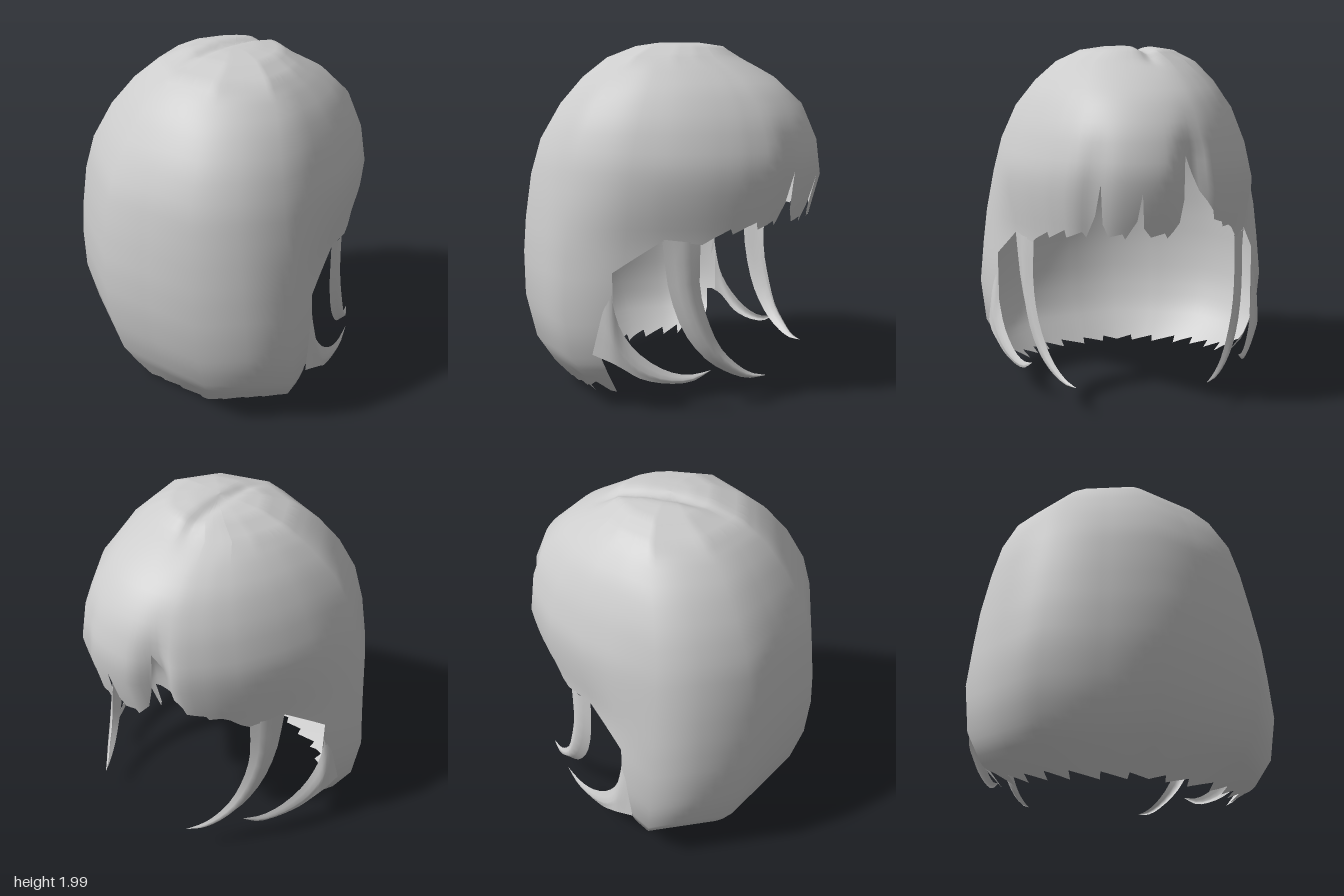
import * as THREE from 'three';

const V = (x, y, z) => new THREE.Vector3(x, y, z);
const { lerp, clamp, smoothstep, degToRad } = THREE.MathUtils;

// Horizontal sections from crown to nape: height, back x, front x, half width, centre x
const SECTIONS = [
  [2.0, 0.02, 0.02, 0, 0.02], [1.995, -0.1, 0.18, 0.14, 0.03], [1.975, -0.22, 0.31, 0.28, 0.02],
  [1.91, -0.4, 0.4, 0.42, 0], [1.8, -0.54, 0.6, 0.545, -0.04], [1.65, -0.66, 0.765, 0.665, -0.1],
  [1.45, -0.78, 0.855, 0.757, -0.14], [1.25, -0.84, 0.88, 0.81, -0.15], [1.0, -0.87, 0.81, 0.86, -0.15],
  [0.8, -0.88, 0.77, 0.885, -0.15], [0.55, -0.86, 0.75, 0.91, -0.15], [0.3, -0.79, 0.74, 0.88, -0.13],
  [0.15, -0.7, 0.74, 0.79, -0.09], [0, -0.6, 0.74, 0.62, -0.07],
];
const LAST = SECTIONS.length - 1;
// Angles of the broad panels round the sides and back
const PANELS = [31, 49, 67, 98, 138, 180];

// Fractional section index for a height
function indexAt(y) {
  for (let i = 0; i < LAST; i++) {
    const a = SECTIONS[i][0], b = SECTIONS[i + 1][0];
    if (y >= b) return i + (a - y) / (a - b);
  }
  return LAST;
}

// Point on the rounded outline of one section; 0 degrees is the face side
function outlinePoint(deg, [y, back, front, width, centre]) {
  const c = Math.cos(degToRad(deg)), s = Math.sin(degToRad(deg));
  if (c < 0) return V(centre + (centre - back) * c, y, width * s);
  const pinch = lerp(0.16, 0.06, smoothstep(y, 0.95, 1.25)) * smoothstep(Math.abs(deg), 0, 45);
  return V(centre + (front - centre) * c, y, width * s * (1 - pinch));
}

// Point on the cap at an angle (wrapped to half turns) and a fractional section index
function capPoint(angle, index) {
  const deg = angle > 180 ? angle - 360 : angle < -180 ? angle + 360 : angle;
  const i = Math.min(LAST - 1, Math.floor(index));
  const section = SECTIONS[i].map((v, k) => lerp(v, SECTIONS[i + 1][k], index - i));
  const size = Math.abs(deg), sign = Math.sign(deg);
  let p;
  if (size <= PANELS[0]) {
    p = outlinePoint(deg, section);
  } else {
    const k = PANELS.findIndex(a => size <= a), a = PANELS[k - 1], b = PANELS[k];
    p = outlinePoint(a * sign, section).lerp(outlinePoint(b * sign, section), (size - a) / (b - a));
  }
  // Creases above the parted fringe
  const low = 1 - smoothstep(p.y, 1.25, 1.65);
  p.x -= low * (0.095 * Math.exp(-(((deg + 19) / 5) ** 2)) + 0.025 * Math.exp(-(((deg - 20) / 5) ** 2)));
  // Parting groove on the crown
  const along = smoothstep(p.x, -0.4, -0.05) * (1 - smoothstep(p.x, 0.3, 0.46)) * smoothstep(p.y, 1.7, 1.8);
  p.y -= 0.03 * along * Math.exp(-(((p.z + 0.05 + 0.1 * p.x) / 0.045) ** 2));
  return p;
}

// Soft normal that runs smoothly across neighbouring panels
function capNormal(deg, index) {
  const d = lerp(4, 20, smoothstep(Math.abs(deg), 25, 60));
  const across = capPoint(deg + d, index).sub(capPoint(deg - d, index));
  const down = capPoint(deg, clamp(index + 0.8, 0, LAST)).sub(capPoint(deg, clamp(index - 0.8, 0, LAST)));
  return across.cross(down).normalize();
}

// Surface over rows of points
function surface(rows, flip, material, name) {
  const w = rows[0].length, index = [];
  for (let i = 0; i < rows.length - 1; i++) {
    for (let j = 0; j < w - 1; j++) {
      const a = i * w + j, b = a + w, c = a + 1, d = b + 1;
      if (flip) index.push(a, c, b, c, d, b);
      else index.push(a, b, c, c, b, d);
    }
  }
  const g = new THREE.BufferGeometry().setFromPoints(rows.flat());
  g.setIndex(index);
  g.computeVertexNormals();
  const mesh = new THREE.Mesh(g, material);
  mesh.name = name;
  return mesh;
}

// Hem of the cap as [angle, height], all the way round
function hemKeys() {
  const fringe = [
    [-50, 0.95], [-46, 1.0], [-43, 1.02], [-38, 1.02], [-37, 1.05], [-30, 1.08], [-29, 1.13], [-22, 1.24],
    [-16.5, 1.43], [-15, 1.2], [-13, 1.08], [-8, 1.0], [-7, 1.03], [-2, 1.01], [0.5, 1.06], [1.5, 1.25],
    [3, 1.1], [7, 1.0], [8, 1.03], [13, 1.01], [15.5, 1.08], [17, 1.29], [18.5, 1.12], [22, 1.0],
    [24, 1.03], [32, 0.99], [33, 1.03], [42, 0.97], [43, 1.0], [50, 0.95],
  ];
  // Sideburn root, ear opening and lock root, shared by both sides
  const side = [[53, 0.92], [67, 0.94], [82.5, 0.77], [82.9, 0.33], [88, 0.32], [88.6, 0.2], [91, 0.06], [93, 0.07]];
  // Ragged tips at the nape
  const tips = [[95, 0.15], [101, 0.1], [107, 0.03], [108, 0.08], [117, 0.03], [118, 0.07],
    [130, 0.02], [131, 0.06], [143, 0.01], [144, 0.05], [157, 0.01], [158, 0.045], [170, 0.01], [171, 0.04]];
  const half = [...side, ...tips];
  const mirrored = half.map(([a, y]) => [360 - a, y]).reverse();
  return [...fringe, ...half, [180, 0.01], ...mirrored, [310, 0.95]];
}

// Columns run from the crown and stop at the hem
function buildCap(material) {
  const keys = hemKeys(), columns = [], softNormals = [], STEPS = 4;
  const addColumn = (deg, y) => {
    const end = indexAt(y), angle = deg > 180 ? deg - 360 : deg, col = [];
    for (let j = 0; j <= LAST * STEPS; j++) {
      const index = Math.min(end, j / STEPS);
      col.push(capPoint(angle, index));
      softNormals.push(capNormal(angle, index));
    }
    columns.push(col);
  };
  for (let k = 0; k < keys.length - 1; k++) {
    const [a0, y0] = keys[k], [a1, y1] = keys[k + 1];
    const n = Math.max(1, Math.ceil((a1 - a0) / 4));
    for (let i = 0; i < n; i++) addColumn(lerp(a0, a1, i / n), lerp(y0, y1, i / n));
  }
  addColumn(...keys[keys.length - 1]);
  const cap = surface(columns, false, material, 'hairCap');
  // Soft normals everywhere except around the crown groove
  const { position, normal } = cap.geometry.attributes;
  softNormals.forEach((soft, i) => {
    const own = V(0, 0, 0).fromBufferAttribute(normal, i);
    const n = soft.lerp(own, smoothstep(position.getY(i), 1.82, 1.93)).normalize();
    normal.setXYZ(i, n.x, n.y, n.z);
  });
  return cap;
}

// Tapering lock between two edge curves, with a raised ridge along its middle
function buildLock(rear, fore, ridge, side, material, name) {
  const curve = pts => new THREE.CatmullRomCurve3(pts.map(p => V(p[0], p[1], p[2] * side)));
  const a = curve(rear), b = curve(fore), rows = [], N = 14;
  for (let i = 0; i <= N; i++) {
    const t = i / N, p = a.getPoint(t), q = b.getPoint(t);
    const bulge = Math.sin(Math.PI * Math.min(1, t * 0.85 + 0.15));
    const m = p.clone().lerp(q, 0.5).add(V(ridge[0], ridge[1], ridge[2] * side).multiplyScalar(bulge));
    rows.push([p, p.clone().lerp(m, 0.55), m, m.clone().lerp(q, 0.45), q]);
  }
  return surface(rows, side < 0, material, name);
}

export function createModel() {
  const group = new THREE.Group();
  group.name = 'hair';
  const hair = new THREE.MeshStandardMaterial({ color: 0xcccccc, side: THREE.DoubleSide });
  hair.name = 'hairGrey';
  group.add(buildCap(hair));

  // Sideburns in front of the ears
  const burnRear = [[0.22, 0.95, 0.67], [0.25, 0.66, 0.645], [0.32, 0.43, 0.6], [0.42, 0.28, 0.54],
    [0.52, 0.2, 0.475], [0.62, 0.16, 0.415], [0.71, 0.17, 0.355]];
  const burnFore = [[0.4, 0.93, 0.57], [0.4, 0.68, 0.575], [0.44, 0.5, 0.555], [0.5, 0.34, 0.51],
    [0.58, 0.24, 0.455], [0.64, 0.19, 0.405], [0.71, 0.17, 0.355]];
  // Curled locks behind the ears
  const curlRear = [[-0.11, 0.33, 0.85], [0, 0.29, 0.83], [0.06, 0.25, 0.8], [0.13, 0.2, 0.76],
    [0.25, 0.17, 0.7], [0.38, 0.18, 0.64], [0.47, 0.24, 0.59]];
  const curlFore = [[-0.03, 0.72, 0.785], [-0.01, 0.58, 0.79], [0.03, 0.45, 0.775], [0.12, 0.33, 0.745],
    [0.25, 0.24, 0.69], [0.36, 0.215, 0.64], [0.47, 0.24, 0.59]];
  for (const side of [1, -1]) {
    const tag = side > 0 ? 'Left' : 'Right';
    group.add(buildLock(burnRear, burnFore, [0.025, 0, 0.03], side, hair, 'sideburn' + tag));
    group.add(buildLock(curlRear, curlFore, [0, -0.01, 0.02], side, hair, 'curledLock' + tag));
  }
  return group;
}
